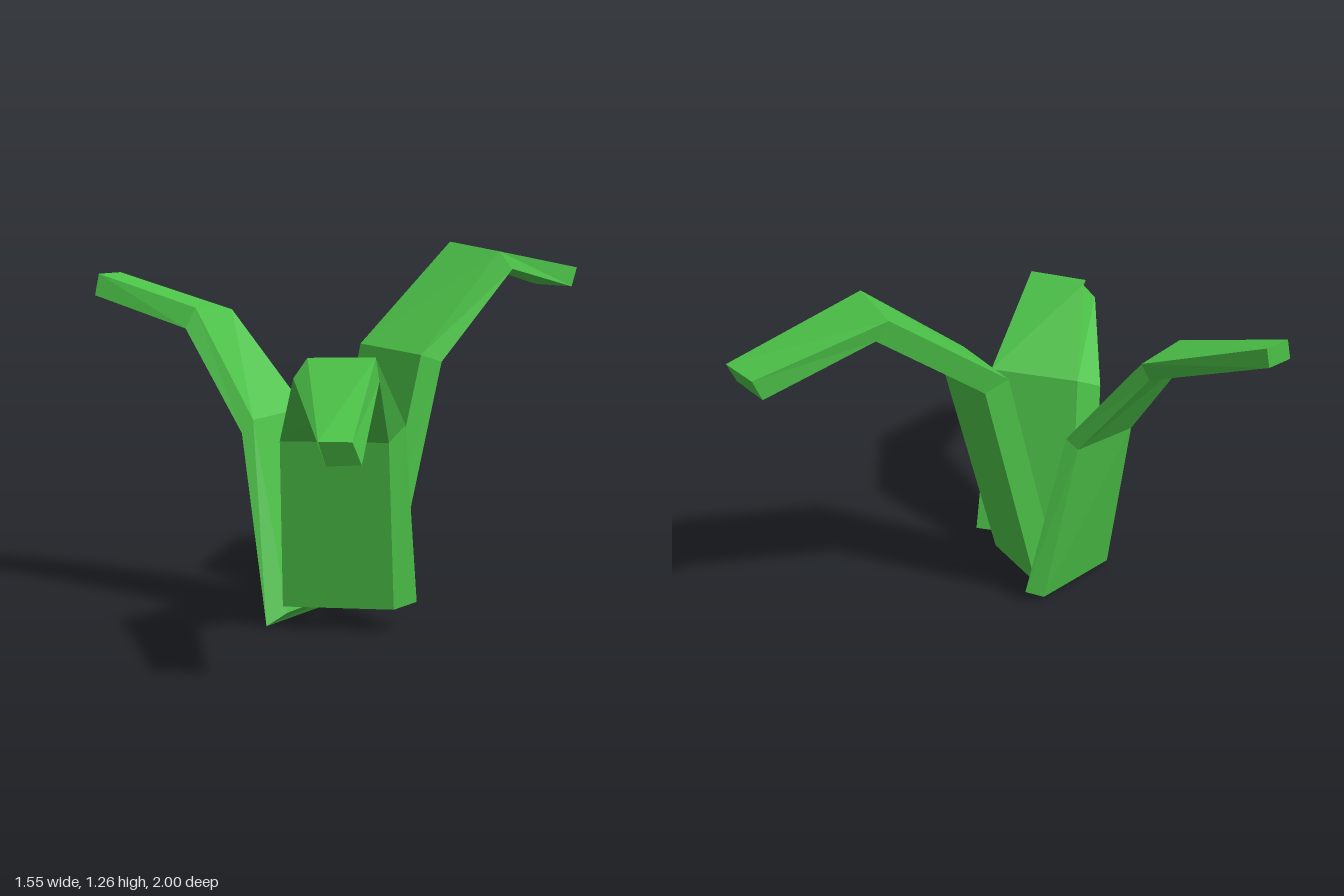
import * as THREE from 'three';

// Each leaf is lofted through four-cornered cross-sections, base to tip.
// Corners run: inner left, inner right, outer right, outer left (seen from the inner side).
const backLeaf = [
  [[-0.05, 0.085, 0.135], [0.245, 0.08, 0.205], [0.27, 0.07, 0.115], [-0.025, 0.07, 0.045]],
  [[-0.01, 0.925, -0.07], [0.315, 0.915, 0.01], [0.335, 0.885, -0.08], [0.015, 0.89, -0.155]],
  [[0.035, 1.265, -0.54], [0.335, 1.245, -0.42], [0.345, 1.18, -0.49], [0.055, 1.2, -0.58]],
  [[0.14, 1.165, -1.0], [0.31, 1.16, -0.98], [0.31, 1.09, -0.945], [0.14, 1.09, -0.965]],
];
const rightLeaf = [
  [[0.005, 0.04, 0.345], [-0.02, 0.045, 0.0], [-0.045, 0.005, 0.07], [-0.02, 0.005, 0.425]],
  [[-0.145, 0.69, 0.345], [-0.15, 0.7, 0.07], [-0.175, 0.655, 0.105], [-0.17, 0.645, 0.375]],
  [[-0.385, 1.06, 0.37], [-0.4, 1.04, 0.17], [-0.405, 0.97, 0.205], [-0.4, 0.99, 0.405]],
  [[-0.775, 1.165, 0.455], [-0.775, 1.165, 0.35], [-0.775, 1.09, 0.37], [-0.775, 1.09, 0.475]],
];
const frontLeaf = [
  [[0.385, 0.095, 0.12], [0.075, 0.09, 0.325], [0.05, 0.085, 0.42], [0.365, 0.085, 0.22]],
  [[0.425, 0.715, 0.24], [0.14, 0.71, 0.41], [0.12, 0.665, 0.51], [0.415, 0.665, 0.315]],
  [[0.565, 0.975, 0.575], [0.35, 0.965, 0.64], [0.335, 0.905, 0.69], [0.56, 0.9, 0.55]],
  [[0.77, 0.785, 0.94], [0.69, 0.785, 0.995], [0.69, 0.71, 0.96], [0.775, 0.715, 0.905]],
];

// Skin the sections with quads and close both ends
function loft(sections) {
  const positions = [];
  const quad = (a, b, c, d) => positions.push(...a, ...b, ...c, ...a, ...c, ...d);
  for (let s = 0; s < sections.length - 1; s++) {
    const low = sections[s], high = sections[s + 1];
    for (let i = 0; i < 4; i++) {
      const j = (i + 1) % 4;
      quad(low[i], low[j], high[j], high[i]);
    }
  }
  quad(...[...sections[0]].reverse());
  quad(...sections[sections.length - 1]);
  const geometry = new THREE.BufferGeometry();
  geometry.setAttribute('position', new THREE.Float32BufferAttribute(positions, 3));
  geometry.computeVertexNormals();
  return geometry;
}

export function createModel() {
  const group = new THREE.Group();
  group.name = 'leafyPlant';
  const green = new THREE.MeshStandardMaterial({ color: 0x4cc248, flatShading: true });
  for (const [name, sections] of Object.entries({ backLeaf, rightLeaf, frontLeaf })) {
    const leaf = new THREE.Mesh(loft(sections), green);
    leaf.name = name;
    group.add(leaf);
  }
  return group;
}
